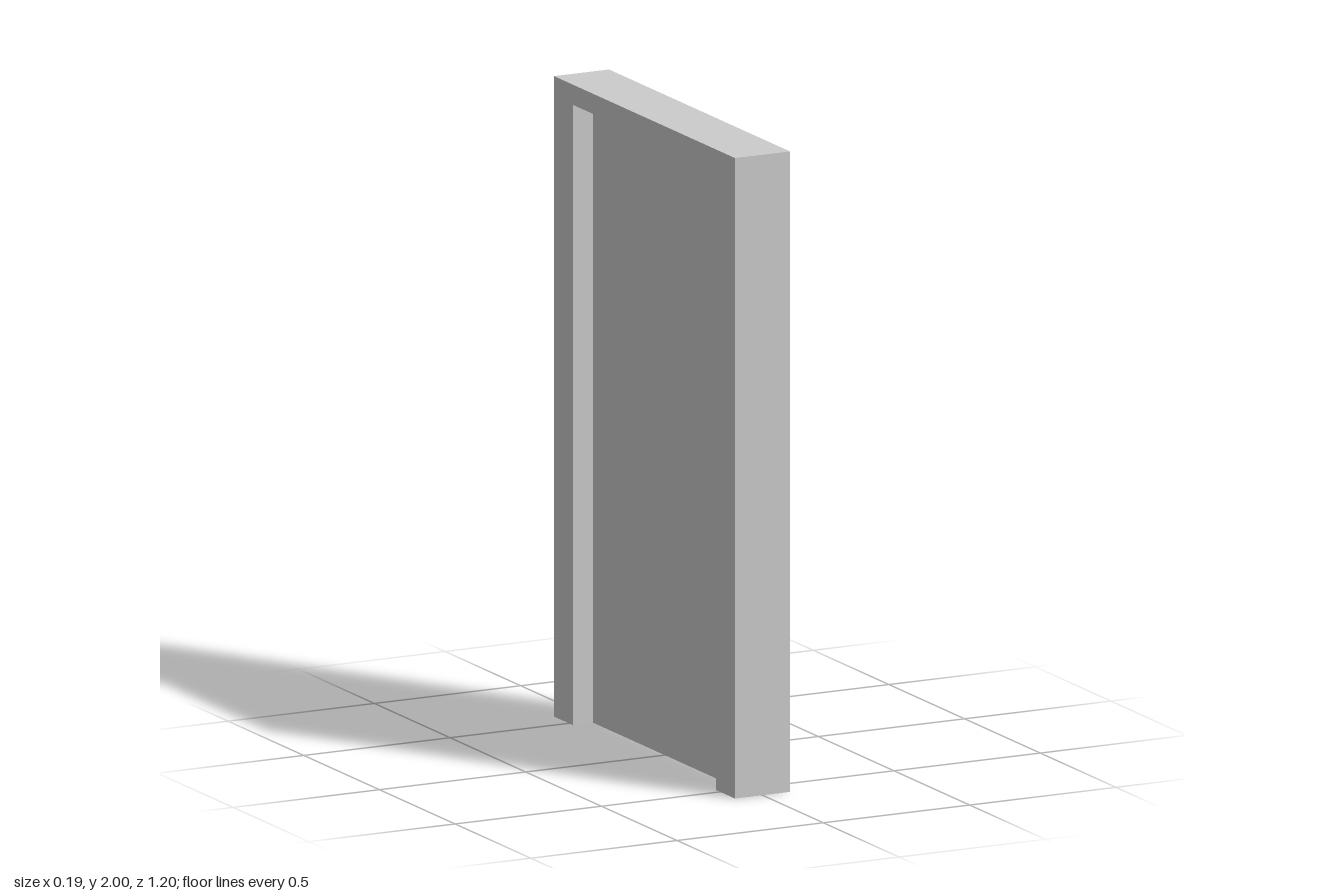
import * as THREE from 'three';

export function createModel() {
  const model = new THREE.Group();
  model.name = 'door';
  const material = new THREE.MeshStandardMaterial({ color: 0xcccccc, flatShading: true });

  const halfWidth = 0.598, height = 2, depth = 0.188;
  const openHalf = 0.474, openHeight = 1.937, panelDepth = 0.05;

  // Frame: two jambs and a lintel as one outline, open at the floor
  const outline = new THREE.Shape([
    [-halfWidth, 0], [-openHalf, 0], [-openHalf, openHeight], [openHalf, openHeight],
    [openHalf, 0], [halfWidth, 0], [halfWidth, height], [-halfWidth, height],
  ].map(([x, y]) => new THREE.Vector2(x, y)));
  const frameGeometry = new THREE.ExtrudeGeometry(outline, { depth, bevelEnabled: false });
  frameGeometry.translate(0, 0, -depth / 2).rotateY(Math.PI / 2);
  const frame = new THREE.Mesh(frameGeometry, material);
  frame.name = 'doorFrame';
  model.add(frame);

  // Door leaf: thin panel centred in the frame depth
  const leaf = new THREE.Mesh(new THREE.BoxGeometry(panelDepth, openHeight, openHalf * 2), material);
  leaf.name = 'doorLeaf';
  leaf.position.y = openHeight / 2;
  model.add(leaf);

  return model;
}
